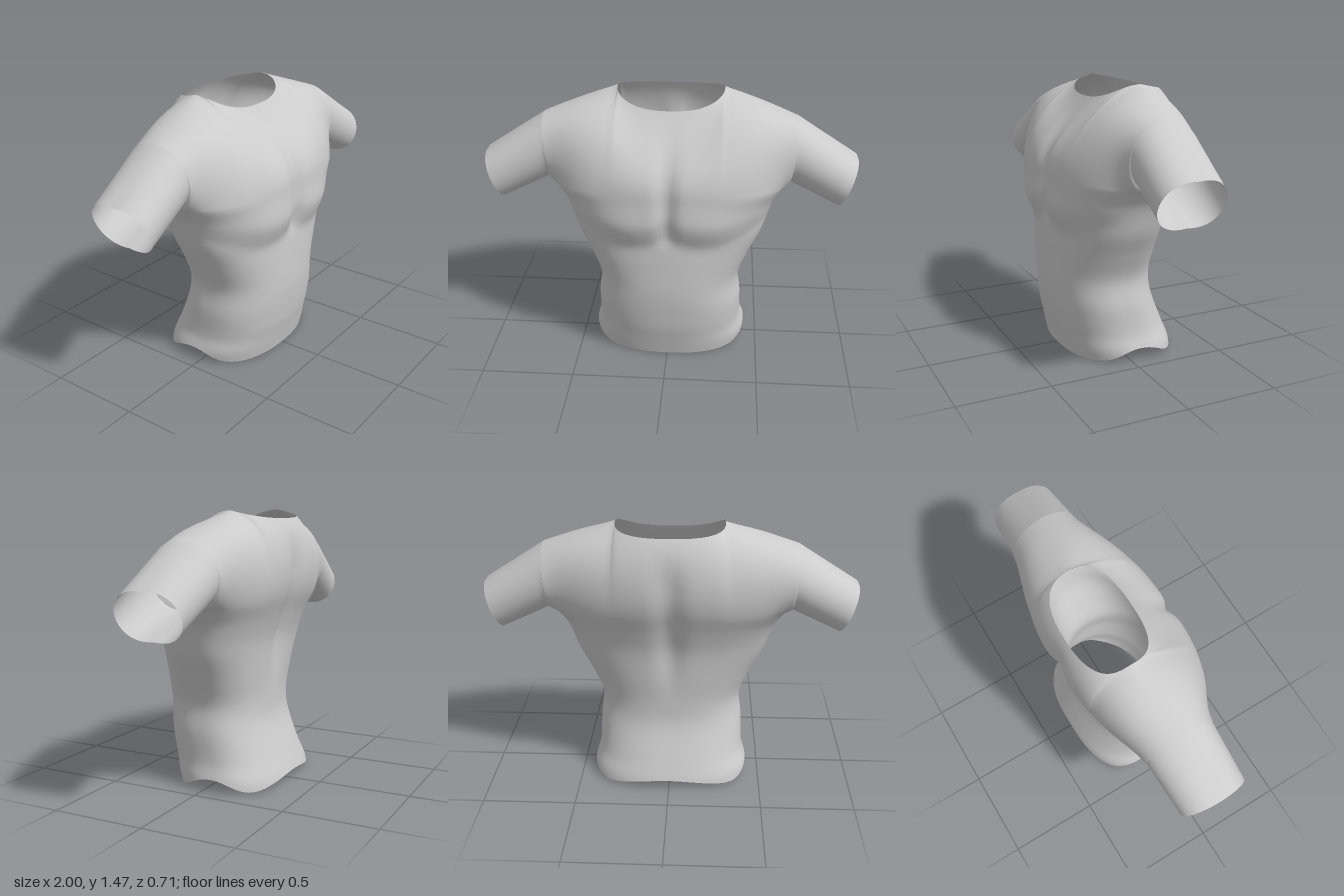
import * as THREE from 'three';
import { mergeVertices } from 'three/addons/utils/BufferGeometryUtils.js';

const COLS = 36;      // columns from the centre line to the side
const NECK = 12;      // columns that end at the neckline
const TORSO = 40, YOKE = 24, SLEEVE = 12;
const ARMPIT = 0.985;
const lerp = THREE.MathUtils.lerp;
const bump = (d, w) => Math.exp(-((d / w) ** 2));
const fade = THREE.MathUtils.smoothstep;

// Smooth curve through [y, value] pairs
function profile(pts) {
  const slope = (i) => {
    const a = pts[Math.max(i - 1, 0)], b = pts[Math.min(i + 1, pts.length - 1)];
    return (b[1] - a[1]) / (b[0] - a[0]);
  };
  return (y) => {
    let i = 0;
    while (i < pts.length - 2 && y > pts[i + 1][0]) i++;
    const [y0, v0] = pts[i], [y1, v1] = pts[i + 1], h = y1 - y0;
    const t = THREE.MathUtils.clamp((y - y0) / h, 0, 1), t2 = t * t, t3 = t2 * t;
    return v0 * (2 * t3 - 3 * t2 + 1) + v1 * (3 * t2 - 2 * t3)
      + h * (slope(i) * (t3 - 2 * t2 + t) + slope(i + 1) * (t3 - t2));
  };
}
const halfWidth = profile([[0, 0.43], [0.06, 0.43], [0.14, 0.406], [0.3, 0.4], [0.45, 0.387],
  [0.6, 0.445], [0.73, 0.51], [0.9, 0.57], [ARMPIT, 0.635]]);
const frontZ = profile([[0, 0.26], [0.11, 0.285], [0.2, 0.305], [0.4, 0.325], [0.6, 0.32],
  [0.7, 0.315], [0.76, 0.333], [0.84, 0.351], [ARMPIT, 0.345]]);
const backZ = profile([[0, -0.35], [0.05, -0.342], [0.15, -0.303], [0.33, -0.235], [0.45, -0.224],
  [0.6, -0.233], [0.78, -0.252], [0.9, -0.288], [ARMPIT, -0.322]]);
const sideZ = profile([[0, -0.08], [0.3, 0.02], [0.6, 0.03], [ARMPIT, -0.03]]);

// Chest and spine grooves and the fullness of the chest
function relief(x, y, s, front) {
  const edge = 1 - s ** 4;
  if (front) {
    const groove = 0.033 * bump(x, 0.045) * fade(y, 0.68, 0.85) * (1 - fade(y, 1.05, 1.4));
    return edge * (0.012 * bump(x - 0.24, 0.15) * bump(y - 0.83, 0.1) - groove);
  }
  return edge * 0.03 * bump(x, 0.065) * fade(y, 0.45, 0.85) * (1 - fade(y, 1.15, 1.4));
}

// Horizontal torso section: s runs 0 (centre) to 1 (side)
function torsoPoint(s, v, front) {
  const hem = 0.07 * s ** 13 + (front ? 0 : 0.05 * (1 - s * s) ** 2);
  const y = lerp(hem, ARMPIT, v), x = halfWidth(y) * s, n = 2.4;
  const round = Math.max(0, 1 - s ** n) ** (1 / n);
  // The lower edge of the chest arcs up towards the middle and the sides
  const arc = 1.2 * (x - 0.2) ** 2 * bump(y - 0.75, 0.12);
  const z = lerp(sideZ(y), front ? frontZ(y - arc) : backZ(y), round);
  return new THREE.Vector3(x, y, z + relief(x, y, s, front));
}

// Upper edge: the neckline, then the shoulder ridge
function topPoint(j, s, front) {
  if (j <= NECK) {
    const a = (j / NECK) * Math.PI / 2, c = Math.max(0, Math.cos(a)) ** 0.7;
    const x = 0.285 * Math.sin(a) ** 0.8;
    return front ? new THREE.Vector3(x, 1.465 - 0.08 * c * c, -0.1 + 0.185 * c)
      : new THREE.Vector3(x, 1.465 - 0.042 * c, -0.1 - 0.19 * c);
  }
  const f = (s - 0.5) * 2;
  return new THREE.Vector3(lerp(0.285, 0.68, f), lerp(1.465, 1.325, f), lerp(-0.1, -0.03, f));
}

// Curve from armpit level over the chest or shoulder blade to the upper edge
function yokePoint(j, t, front) {
  const s = Math.sin((j / COLS) * Math.PI / 2), w = s ** 6, ridge = fade(s, 0, 0.85);
  const p0 = torsoPoint(s, 1, front);
  p0.z -= relief(p0.x, p0.y, s, front);
  const p3 = topPoint(j, s, front), p1 = p0.clone().lerp(p3, 1 / 3), p2 = p0.clone().lerp(p3, 2 / 3);
  p1.y = lerp(front ? 1.15 : 1.12, ARMPIT, w);
  p1.z = front ? lerp(p0.z, 0.205, w) : lerp(p0.z - 0.06, -0.31, w);
  p2.y = lerp(front ? 1.22 : 1.3, p3.y, ridge);
  p2.z = front ? 0.2 : lerp(-0.37, -0.3, s * s);
  const p = new THREE.CubicBezierCurve3(p0, p1, p2, p3).getPoint(t);
  p.z += relief(p.x, p.y, s, front);
  return p;
}

// Rounded sleeve opening, tilted outward at the top
function cuffPoint(t, front) {
  const z = front ? 0.22 : -0.265;
  return new THREE.CubicBezierCurve3(
    new THREE.Vector3(0.9, 0.87, -0.025), new THREE.Vector3(0.89, 0.835, z),
    new THREE.Vector3(1.0, 1.14, z), new THREE.Vector3(1.0, 1.113, -0.025)).getPoint(t);
}

// Adds a grid of quads to the shared arrays
function addGrid(pos, idx, cols, rows, point, flip) {
  const base = pos.length / 3;
  for (let r = 0; r <= rows; r++)
    for (let c = 0; c <= cols; c++) pos.push(...point(c, r).toArray());
  for (let r = 0; r < rows; r++)
    for (let c = 0; c < cols; c++) {
      const a = base + r * (cols + 1) + c, b = a + 1, d = a + cols + 1, e = d + 1;
      if (flip) idx.push(a, e, b, a, d, e);
      else idx.push(a, b, e, a, e, d);
    }
}

export function createModel() {
  const pos = [], idx = [];

  // Front and back panels, hem to neckline
  for (const front of [true, false]) {
    addGrid(pos, idx, COLS * 2, TORSO + YOKE, (c, r) => {
      const j = Math.abs(c - COLS), s = Math.sin((j / COLS) * Math.PI / 2);
      const p = r < TORSO ? torsoPoint(s, r / TORSO, front) : yokePoint(j, (r - TORSO) / YOKE, front);
      if (c < COLS) p.x *= -1;
      return p;
    }, !front);
  }

  // Sleeves, armhole to cuff
  for (const side of [1, -1]) {
    addGrid(pos, idx, SLEEVE, YOKE * 2, (c, r) => {
      const front = r <= YOKE, t = (front ? r : YOKE * 2 - r) / YOKE;
      const p = yokePoint(COLS, t, front).lerp(cuffPoint(t, front), c / SLEEVE);
      p.x *= side;
      return p;
    }, side < 0);
  }

  // Weld the seams so the cloth shades smoothly
  let geometry = new THREE.BufferGeometry();
  geometry.setAttribute('position', new THREE.Float32BufferAttribute(pos, 3));
  geometry.setIndex(idx);
  geometry = mergeVertices(geometry, 1e-4);
  geometry.computeVertexNormals();

  const shirt = new THREE.Mesh(geometry,
    new THREE.MeshStandardMaterial({ color: 0xcccccc, side: THREE.DoubleSide }));
  shirt.name = 'shirt';
  const group = new THREE.Group();
  group.name = 'shortSleevedShirt';
  group.add(shirt);
  return group;
}
